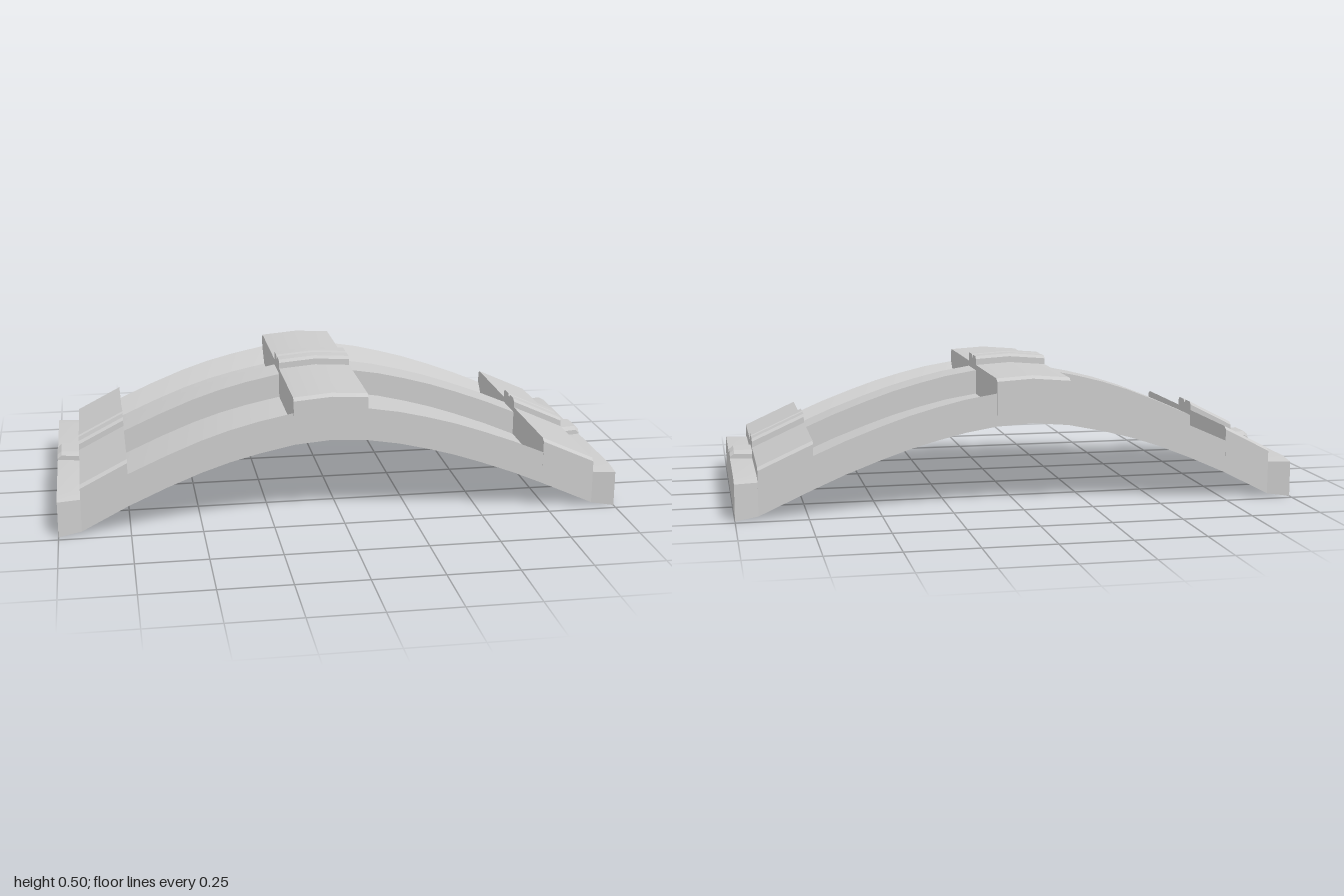
import * as THREE from 'three';
import { toCreasedNormals } from 'three/addons/utils/BufferGeometryUtils.js';

// Underside of the arch: x, y
const ARCH = [[-1, 0], [-0.92, 0.01], [-0.755, 0.095], [-0.62, 0.155], [-0.5, 0.203], [-0.4, 0.236], [-0.3, 0.262],
  [-0.17, 0.289], [-0.04, 0.3], [0.09, 0.292], [0.2, 0.274], [0.3, 0.25], [0.4, 0.222], [0.5, 0.188],
  [0.62, 0.143], [0.73, 0.096], [0.92, 0.01], [1, 0]];

function underside(x) {
  for (let i = 1; i < ARCH.length; i++) {
    const [x0, y0] = ARCH[i - 1], [x1, y1] = ARCH[i];
    if (x <= x1) return y0 + (y1 - y0) * (x - x0) / (x1 - x0);
  }
  return 0;
}

// Stations along x, with the arch points between the two ends
const stations = (a, b) => [a, ...ARCH.map(p => p[0]).filter(x => x > a + 1e-4 && x < b - 1e-4), b];

// Closed solid from a mirrored half section [z, y] placed at each station
function sweep(half, xs, place) {
  const mirrored = half.filter(p => p[0] > 0).reverse().map(([z, y]) => [-z, y]);
  const section = [...half, ...mirrored];
  const n = section.length, pos = [], idx = [];
  for (const x of xs) for (const p of section) pos.push(x, ...place(x, p));
  for (let s = 0; s < xs.length - 1; s++) {
    for (let i = 0; i < n; i++) {
      const j = (i + 1) % n, a = s * n, b = a + n;
      idx.push(a + i, b + i, b + j, a + i, b + j, a + j);
    }
  }
  const end = (xs.length - 1) * n;
  const faces = THREE.ShapeUtils.triangulateShape(section.map(p => new THREE.Vector2(...p)), []);
  for (const [a, b, c] of faces) idx.push(a, b, c, end + a, end + c, end + b);
  const geo = new THREE.BufferGeometry();
  geo.setAttribute('position', new THREE.Float32BufferAttribute(pos, 3));
  geo.setIndex(idx);
  return toCreasedNormals(geo, 0.4);
}

export function createModel() {
  const group = new THREE.Group();
  const material = new THREE.MeshStandardMaterial({ color: 0xcccccc });
  const add = (name, geo) => {
    const mesh = new THREE.Mesh(geo, material);
    mesh.name = name;
    group.add(mesh);
  };
  const follow = (x, [z, dy]) => [underside(x) + dy, z];

  // Arched deck with sloped rims and a raised centre rib
  const deck = [[0.46, 0], [0.46, 0.117], [0.4, 0.06], [0.068, 0.06], [0.068, 0.148]];
  add('archDeck', sweep(deck, stations(-0.92, 0.92), follow));

  // Cross plates, each with a grooved block on top
  const plate = [[0.461, 0.04], [0.461, 0.158], [0.445, 0.168]];
  const block = [[0.07, 0.05], [0.07, 0.19], [0.06, 0.2], [0.012, 0.2], [0, 0.186]];
  for (const [name, a, b] of [['right', -0.92, -0.755], ['middle', -0.175, 0.088], ['left', 0.73, 0.92]]) {
    add(name + 'CrossPlate', sweep(plate, stations(a, b), follow));
    add(name + 'GroovedBlock', sweep(block, stations(a, b), follow));
  }

  // Flared end caps and their small tapered blocks
  const cap = [[0.46, 0], [0.46, 0.128], [0.39, 0.138]];
  const lug = [[0.07, 0.1], [0.07, 0.155], [0.056, 0.168]];
  for (const [name, side] of [['left', 1], ['right', -1]]) {
    const xs = list => list.map(x => x * side).sort((a, b) => a - b);
    const out = x => (Math.abs(x) - 0.92) / 0.08;
    add(name + 'EndCap', sweep(cap, xs([0.92, 1]),
      (x, [z, y]) => [y || underside(x), z * (1 + 0.035 * out(x))]));
    add(name + 'EndBlock', sweep(lug, xs([0.92, 0.985, 1]),
      (x, [z, y]) => [y - (out(x) > 0.9 && y > 0.15 ? 0.012 : 0), z * (1 - 0.25 * out(x))]));
  }
  return group;
}
